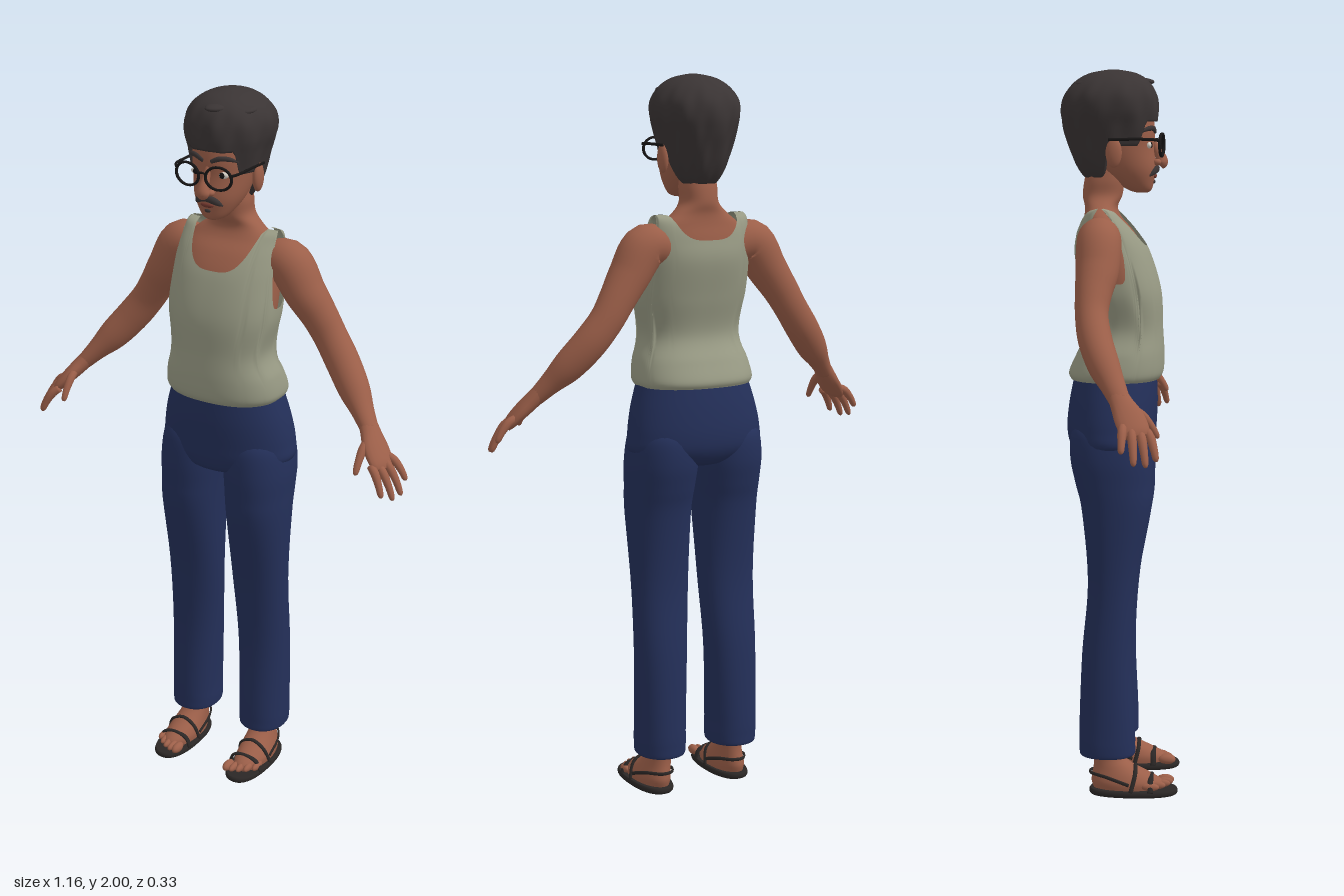
import * as THREE from 'three';

const mat = (name, color, side = THREE.FrontSide) => {
  const m = new THREE.MeshStandardMaterial({ color, side });
  m.name = name;
  return m;
};

// Catmull-Rom through rows of numbers, t from 0 to 1
function sample(keys, t) {
  const n = keys.length - 1, s = Math.min(Math.max(t, 0), 1) * n;
  const i = Math.min(Math.floor(s), n - 1), f = s - i;
  const p0 = keys[Math.max(i - 1, 0)], p1 = keys[i], p2 = keys[i + 1], p3 = keys[Math.min(i + 2, n)];
  return p1.map((b, k) => {
    const a = p0[k], c = p2[k], d = p3[k];
    return b + 0.5 * f * (c - a + f * (2 * a - 5 * b + 4 * c - d + f * (3 * (b - c) + d - a)));
  });
}

// Parameter at which a list of rows [y, ...] reaches height y
function tAt(keys, y) {
  let lo = 0, hi = 1;
  for (let i = 0; i < 24; i++) {
    const m = (lo + hi) / 2;
    if (sample(keys, m)[0] < y) lo = m; else hi = m;
  }
  return lo;
}

// Closed-round surface from point(angle, v)
function skinGrid(nu, nv, point) {
  const pos = [], idx = [];
  for (let j = 0; j <= nv; j++)
    for (let i = 0; i < nu; i++) pos.push(...point(i / nu * Math.PI * 2, j / nv, j));
  for (let j = 0; j < nv; j++)
    for (let i = 0; i < nu; i++) {
      const a = j * nu + i, b = j * nu + (i + 1) % nu;
      idx.push(a, b, b + nu, a, b + nu, a + nu);
    }
  const g = new THREE.BufferGeometry();
  g.setAttribute('position', new THREE.Float32BufferAttribute(pos, 3));
  g.setIndex(idx);
  g.computeVertexNormals();
  return g;
}

const pw = (v, p) => Math.sign(v) * Math.abs(v) ** p;

// Point on a level section, key = [y, centreX, halfWidth, frontZ, backZ]
function section(key, th, p = 1, k = 1) {
  const [y, cx, rx, zf, zb] = key;
  return [cx + k * rx * pw(Math.sin(th), p), y, (zf + zb) / 2 + k * (zf - zb) / 2 * pw(Math.cos(th), p)];
}

// Capped stack of level sections, listed from the bottom up
function stack(keys, nu = 40, nv = 40, p = 1) {
  return skinGrid(nu, nv + 2, (th, v, j) =>
    section(sample(keys, (j - 1) / nv), th, p, j === 0 || j === nv + 2 ? 0 : 1));
}

// Capped limb along rows [x, y, z, halfWidth, halfDepth]; the width follows ref
function limb(keys, ref = [0, 0, 1], nu = 16, nv = 24) {
  const r = new THREE.Vector3(...ref);
  return skinGrid(nu, nv + 2, (a, v, j) => {
    const t = Math.min(Math.max((j - 1) / nv, 0), 1);
    const c = sample(keys, t), k = j === 0 || j === nv + 2 ? 0 : 1;
    const T = new THREE.Vector3(...sample(keys, t + 0.01).slice(0, 3))
      .sub(new THREE.Vector3(...sample(keys, t - 0.01).slice(0, 3))).normalize();
    const S = r.clone().addScaledVector(T, -r.dot(T)).normalize();
    const N = T.clone().cross(S);
    const q = new THREE.Vector3(c[0], c[1], c[2])
      .addScaledVector(S, k * c[3] * Math.cos(a)).addScaledVector(N, k * c[4] * Math.sin(a));
    return [q.x, q.y, q.z];
  });
}

function mirrored(geo) {
  const g = geo.clone().scale(-1, 1, 1), ix = g.index.array;
  for (let i = 0; i < ix.length; i += 3) [ix[i], ix[i + 1]] = [ix[i + 1], ix[i]];
  g.computeVertexNormals();
  return g;
}

const blob = (x, y, z, a, b, c) => new THREE.SphereGeometry(1, 20, 14).scale(a, b, c).translate(x, y, z);
const smooth = THREE.MathUtils.smoothstep;

export function createModel() {
  const root = new THREE.Group();
  const skin = mat('skin', 0x9c5f49), lip = mat('lip', 0x74392f), white = mat('eye white', 0xd8d2c8);
  const shirt = mat('shirt', 0x989a84, THREE.DoubleSide), denim = mat('trousers', 0x24305a);
  const hairMat = mat('hair', 0x3a3434, THREE.DoubleSide), black = mat('black', 0x171515), leather = mat('sandal', 0x2b2726);

  const add = (name, geo, m) => {
    const mesh = new THREE.Mesh(geo, m);
    mesh.name = name;
    root.add(mesh);
  };
  const pair = (name, geo, m) => {
    add(name + 'Left', geo, m);
    add(name + 'Right', mirrored(geo), m);
  };

  // Torso and neck
  add('torso', stack([[1.2, 0, .14, .09, -.1], [1.3, 0, .125, .1, -.078], [1.4, 0, .147, .1, -.096], [1.5, 0, .148, .07, -.114],
    [1.56, 0, .14, .037, -.108], [1.6, 0, .118, .003, -.1], [1.63, 0, .08, -.008, -.098], [1.66, 0, .052, .004, -.104],
    [1.7, 0, .05, .01, -.1], [1.74, 0, .045, .01, -.09]], 48, 48, .9), skin);

  // Vest with scooped neck and arm openings
  const vest = [[1.16, 0, .163, .108, -.137], [1.18, 0, .17, .119, -.142], [1.23, 0, .162, .121, -.12], [1.3, 0, .14, .117, -.089],
    [1.4, 0, .16, .112, -.107], [1.5, 0, .159, .083, -.126], [1.56, 0, .156, .05, -.12], [1.6, 0, .152, .016, -.108],
    [1.62, 0, .15, -.008, -.09], [1.628, 0, .148, -.04, -.06]];
  const vestTop = th => {
    const a = Math.abs(Math.sin(th)), low = Math.cos(th) > 0 ? 1.525 : 1.56;
    const neck = low + (1.628 - low) * Math.min(a / .64, 1) ** 3;
    return neck - .2 * smooth(a, .9, 1);
  };
  add('vest', skinGrid(112, 48, (th, v) => section(sample(vest, v * tAt(vest, vestTop(th))), th, .84)), shirt);

  // Trousers
  add('trouserSeat', stack([[.93, 0, .03, .02, -.05], [.945, 0, .12, .08, -.11], [.98, 0, .194, .096, -.14], [1.03, 0, .197, .1, -.148],
    [1.1, 0, .184, .103, -.141], [1.175, 0, .161, .1, -.126]], 48, 30, .95), denim);
  pair('trouserLeg', stack([[.125, .115, .05, .02, -.085], [.112, .115, .066, .044, -.107], [.14, .115, .07, .046, -.11],
    [.2, .115, .07, .045, -.11], [.4, .112, .074, .038, -.102], [.6, .106, .081, .052, -.086], [.8, .106, .089, .088, -.102],
    [.88, .104, .093, .093, -.12], [.95, .102, .096, .094, -.134], [1.02, .1, .088, .085, -.13], [1.06, .1, .06, .06, -.1]], 32, 50, .92), denim);

  // Arms and hands
  pair('arm', limb([[.1, 1.535, -.05, .05, .05], [.165, 1.543, -.05, .06, .062], [.215, 1.47, -.052, .058, .056],
    [.255, 1.41, -.06, .049, .05], [.29, 1.355, -.062, .044, .047], [.335, 1.295, -.05, .045, .047],
    [.385, 1.235, -.025, .042, .043], [.425, 1.19, 0, .033, .03], [.46, 1.15, .022, .027, .022]], [0, 0, 1], 24, 44), skin);
  pair('palm', limb([[.445, 1.17, .012, .026, .022], [.465, 1.145, .026, .032, .022], [.49, 1.115, .045, .041, .02],
    [.515, 1.085, .06, .04, .016], [.525, 1.07, .066, .03, .01]], [-.25, 0, 1]), skin);
  const fingers = [[.523, 1.093, .03, .573, 1.035, .028], [.525, 1.083, .052, .576, 1.005, .06],
    [.518, 1.077, .075, .567, 1, .09], [.506, 1.078, .094, .546, 1.012, .116], [.468, 1.13, .06, .468, 1.06, .118]];
  fingers.forEach(([x, y, z, X, Y, Z], i) => {
    const at = (f, r) => [x + (X - x) * f, y + (Y - y) * f + .012 * Math.sin(f * Math.PI), z + (Z - z) * f, r, r];
    pair(i === 4 ? 'thumb' : 'finger' + (i + 1), limb([at(-.15, .011), at(.3, .012), at(.7, .01), at(.93, .008), at(1, .003)], [0, 0, 1], 10, 12), skin);
  });

  // Feet, toes and sandals
  pair('foot', stack([[.015, .122, .045, .125, -.07], [.035, .122, .047, .125, -.076], [.055, .12, .043, .095, -.074],
    [.08, .117, .037, .045, -.07], [.11, .115, .033, .012, -.07], [.17, .115, .036, .01, -.075]], 28, 20), skin);
  for (let i = 0; i < 5; i++)
    pair('toe' + (i + 1), blob(.088 + i * .0185, .029, .13 - i * i * .0025, i ? .0095 : .013, i ? .011 : .014, .025), skin);
  pair('sandalSole', stack([[0, .123, .051, .16, -.078], [.005, .123, .055, .165, -.082], [.013, .123, .055, .165, -.082], [.018, .123, .052, .161, -.079]], 36, 8, .85), leather);
  const strap = (z, h, w, lean) => limb([[.071, .015, z, w, .004], [.083, .015 + h * .75, z + lean, w, .004], [.12, .018 + h, z + lean, w, .004],
    [.158, .015 + h * .75, z + lean, w, .004], [.175, .015, z, w, .004]], [0, 0, 1], 8, 24);
  pair('toeStrap', strap(.09, .036, .008, 0), leather);
  pair('instepStrap', strap(.035, .062, .006, .012), leather);
  pair('heelStrap', limb([[.072, .035, .03, .005, .003], [.076, .055, -.03, .005, .003], [.1, .06, -.074, .005, .003],
    [.134, .06, -.076, .005, .003], [.163, .055, -.03, .005, .003], [.17, .035, .03, .005, .003]], [0, 1, 0], 8, 28), leather);

  // Head
  add('head', stack([[1.668, 0, .012, .072, .045], [1.676, 0, .032, .084, .02], [1.7, 0, .052, .091, -.018], [1.735, 0, .069, .097, -.06],
    [1.79, 0, .082, .091, -.1], [1.84, 0, .088, .093, -.125], [1.9, 0, .085, .08, -.13], [1.95, 0, .06, .03, -.1], [1.97, 0, .01, -.01, -.05]], 40, 40, .95), skin);
  add('nose', limb([[0, 1.82, .083, .008, .008], [0, 1.79, .096, .01, .011], [0, 1.765, .109, .015, .015],
    [0, 1.75, .112, .019, .017], [0, 1.742, .106, .012, .012]], [1, 0, 0]), skin);
  pair('nostril', blob(.015, 1.751, .1, .011, .009, .012), skin);
  pair('ear', blob(.091, 1.777, -.012, .013, .04, .022).rotateY(.03), skin);
  pair('eye', blob(.04, 1.797, .079, .017, .009, .007), white);
  pair('iris', blob(.04, 1.797, .084, .008, .008, .004), black);
  pair('eyebrow', limb([[.012, 1.832, .094, .005, .003], [.035, 1.842, .089, .007, .005], [.058, 1.84, .074, .006, .005], [.073, 1.83, .055, .002, .002]], [0, 1, 0], 10, 14), hairMat);
  pair('moustache', limb([[-.002, 1.733, .1, .008, .006], [.014, 1.733, .099, .01, .007], [.03, 1.724, .091, .008, .006], [.04, 1.714, .08, .002, .002]], [0, 1, 0], 10, 14), hairMat);
  add('lips', blob(0, 1.714, .092, .02, .007, .007), lip);
  add('chinTuft', blob(0, 1.698, .09, .009, .005, .005), hairMat);

  // Hair: swept cap with a full front, low at the nape
  const hair = [[1.705, 0, .05, .04, -.095], [1.73, 0, .068, .075, -.115], [1.765, 0, .082, .085, -.132], [1.81, 0, .094, .093, -.146],
    [1.85, 0, .105, .1, -.157], [1.89, 0, .116, .103, -.162], [1.93, 0, .114, .098, -.154], [1.965, 0, .092, .08, -.128],
    [1.988, 0, .058, .048, -.09], [1.998, 0, .02, .005, -.045], [2, 0, .001, -.019, -.021]];
  const hairLow = th => {
    const f = Math.cos(th);
    return 1.71 + .085 * smooth(f, -.35, .1) + .065 * smooth(f, .6, .8);
  };
  add('hair', skinGrid(96, 44, (th, v, j) => {
    const t0 = tAt(hair, hairLow(th)), key = sample(hair, t0 + (1 - t0) * Math.max(j - 1, 0) / 43);
    const wave = .016 * Math.sin(9 * th + 26 * key[0]) + .01 * Math.sin(17 * th - 40 * key[0]);
    return section(key, th, .95, j === 0 ? .8 : 1 + wave * smooth(2 - key[0], 0, .08));
  }), hairMat);
  [[.02, .02, -.3], [.055, -.03, .3], [-.05, -.05, -.2]].forEach(([x, z, turn], i) =>
    add('hairLock' + (i + 1), blob(0, 0, 0, .036, .014, .075).rotateY(turn).translate(x, 1.972 - Math.abs(x) * .25, z), hairMat));

  // Glasses
  pair('glassesRim', new THREE.TorusGeometry(.037, .0042, 8, 32).scale(1, .82, 1).rotateY(.12).translate(.047, 1.797, .113), black);
  add('glassesBridge', limb([[-.014, 1.803, .116, .003, .003], [0, 1.808, .119, .003, .003], [.014, 1.803, .116, .003, .003]], [0, 1, 0], 8, 8), black);
  pair('glassesTemple', limb([[.083, 1.808, .109, .004, .003], [.096, 1.812, .09, .004, .003], [.098, 1.813, .04, .004, .003], [.099, 1.812, -.03, .004, .003]], [0, 1, 0], 8, 14), black);

  return root;
}
